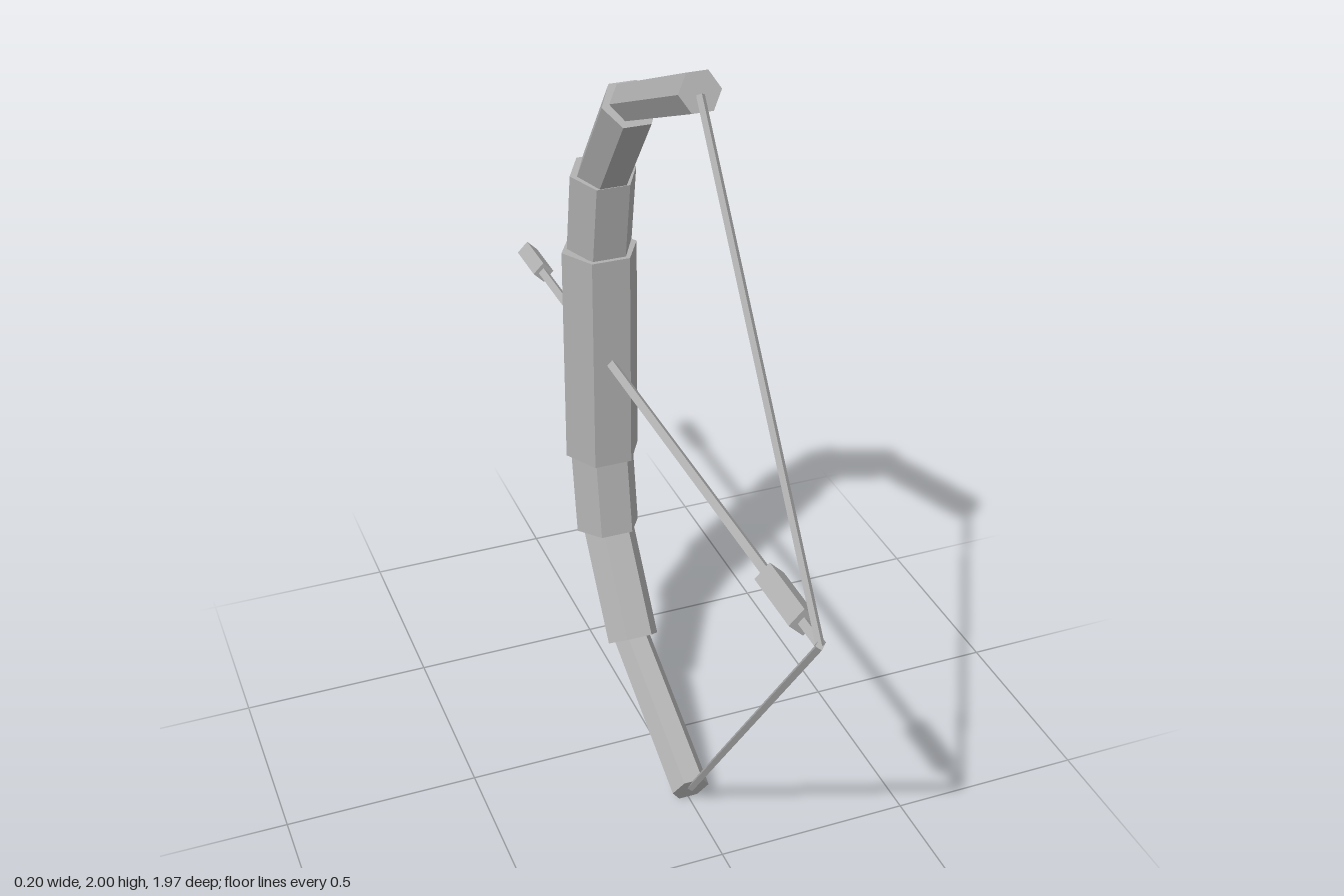
import * as THREE from 'three';

const grey = new THREE.MeshStandardMaterial({ color: 0xb0b0b0, flatShading: true });
grey.name = 'grey';
const thinGrey = grey.clone();
thinGrey.name = 'grey two-sided';
thinGrey.side = THREE.DoubleSide;

// Prism running between two [y, z] points in the x = 0 plane
function rod(name, a, b, radius, sides) {
  const start = new THREE.Vector3(0, ...a);
  const end = new THREE.Vector3(0, ...b);
  const dir = end.clone().sub(start);
  const thetaStart = sides === 6 ? Math.PI / 6 : 0; // corners on the left and right
  const mesh = new THREE.Mesh(
    new THREE.CylinderGeometry(radius, radius, dir.length(), sides, 1, false, thetaStart), grey);
  mesh.quaternion.setFromUnitVectors(new THREE.Vector3(0, 1, 0), dir.normalize());
  mesh.position.addVectors(start, end).multiplyScalar(0.5);
  mesh.name = name;
  return mesh;
}

export function createModel() {
  const bow = new THREE.Group();
  bow.name = 'bowAndArrow';

  // Grip
  bow.add(rod('grip', [0.7, -0.367], [1.3, -0.367], 0.101, 6));

  // Limbs and string halves, mirrored about the arrow height
  for (const s of [1, -1]) {
    const side = s > 0 ? 'upper' : 'lower';
    const at = (h, z) => [1 + s * h, z];
    bow.add(
      rod(side + 'LimbInner', at(0.31, -0.366), at(0.523, -0.33), 0.087, 6),
      rod(side + 'LimbMiddle', at(0.519, -0.327), at(0.773, -0.137), 0.07, 6),
      rod(side + 'LimbOuter', at(0.778, -0.14), at(0.961, 0.286), 0.05, 6),
      rod(side + 'String', at(0, 0.977), at(0.955, 0.288), 0.01, 4),
    );
  }

  // Arrow
  bow.add(
    rod('arrowShaft', [1.003, 0.975], [1.003, -0.9], 0.014, 4),
    rod('arrowFletching', [1.003, 0.895], [1.003, 0.715], 0.035, 4),
    rod('arrowHead', [1.003, -0.84], [1.003, -0.985], 0.029, 4),
  );

  // Flat four-pointed star around the shaft
  const star = new THREE.Shape();
  for (let i = 0; i < 8; i++) {
    const r = i % 2 ? 0.016 : (i % 4 ? 0.066 : 0.057);
    const a = i * Math.PI / 4;
    star[i ? 'lineTo' : 'moveTo'](r * Math.cos(a), r * Math.sin(a));
  }
  const rest = new THREE.Mesh(new THREE.ShapeGeometry(star), thinGrey);
  rest.name = 'arrowRestStar';
  rest.position.set(0, 1.002, -0.484);
  bow.add(rest);

  return bow;
}
